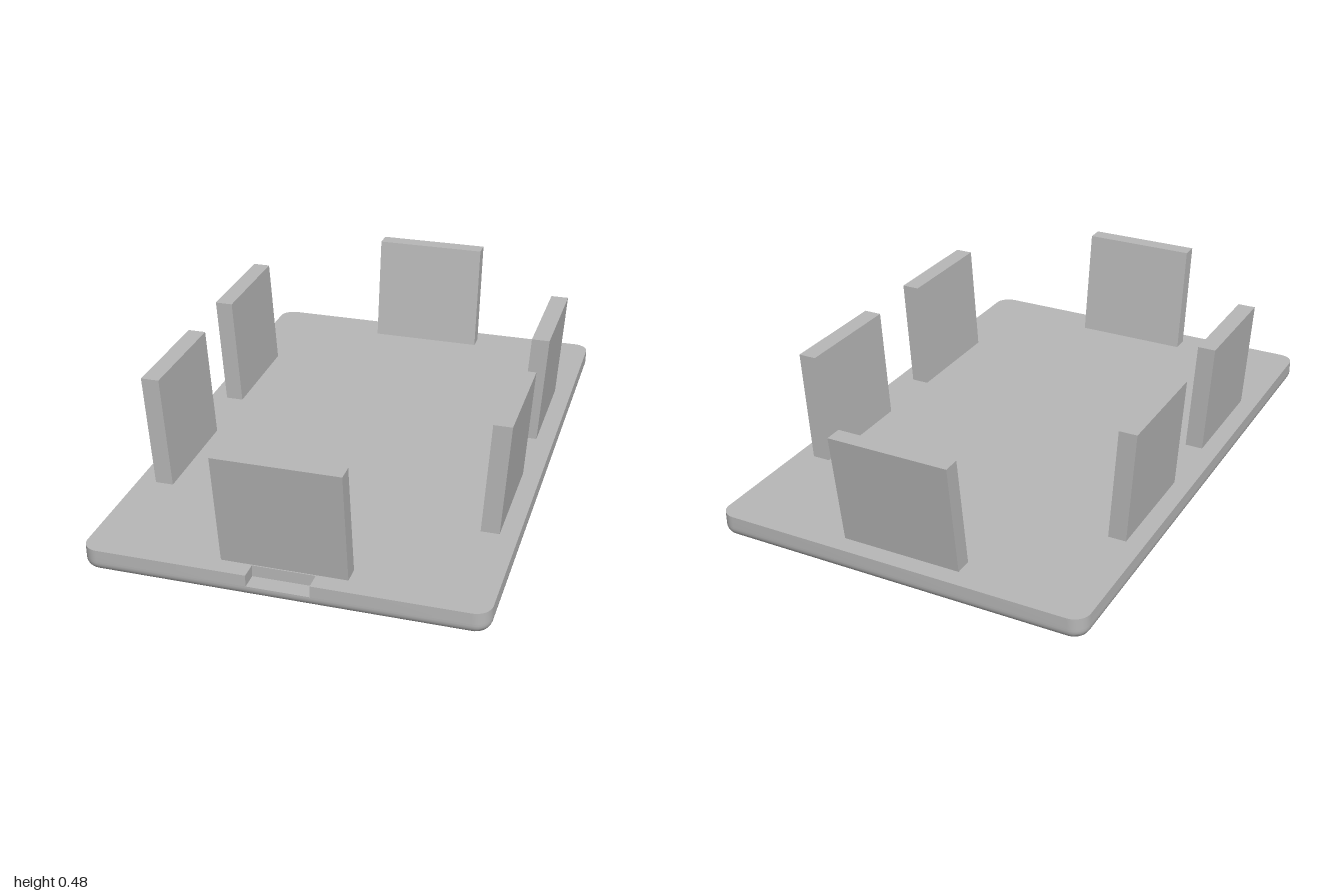
import * as THREE from 'three';
import { toCreasedNormals } from 'three/addons/utils/BufferGeometryUtils.js';

const HALF_X = 0.667, HALF_Z = 1, CORNER = 0.055;
const HEIGHT = 0.08, LEDGE = 0.04, BOTTOM_ROUND = 0.035;
const TAB_TOP = 0.475;

// Rounded rectangle, counter-clockwise, pulled in by `inset`
function outline(inset = 0) {
  const r = CORNER - inset, steps = 8, points = [];
  [[1, 1], [-1, 1], [-1, -1], [1, -1]].forEach(([sx, sy], q) => {
    for (let i = 0; i <= steps; i++) {
      const a = (q + i / steps) * Math.PI / 2;
      points.push(new THREE.Vector2(
        sx * (HALF_X - CORNER) + r * Math.cos(a),
        sy * (HALF_Z - CORNER) + r * Math.sin(a)));
    }
  });
  return points;
}

// Lower half of the tray: stacked outlines with a rounded bottom edge
function lowerPlate() {
  const flat = outline();
  const centre = flat.map(() => new THREE.Vector2());
  const levels = [[centre, 0]];
  for (let i = 0; i <= 6; i++) {
    const a = i / 6 * Math.PI / 2;
    levels.push([outline(BOTTOM_ROUND * (1 - Math.sin(a))), BOTTOM_ROUND * (1 - Math.cos(a))]);
  }
  levels.push([flat, LEDGE], [centre, LEDGE]);

  const n = flat.length, positions = [], index = [];
  levels.forEach(([ring, h]) => ring.forEach(p => positions.push(p.x, p.y, h)));
  for (let l = 0; l < levels.length - 1; l++) {
    for (let i = 0; i < n; i++) {
      const j = (i + 1) % n, a = l * n + i, b = l * n + j;
      if (l > 0) index.push(a, b, b + n);
      if (l === 0) index.push(a, b + n, a + n);
      else if (l < levels.length - 2) index.push(a, b + n, a + n);
    }
  }
  const g = new THREE.BufferGeometry();
  g.setAttribute('position', new THREE.Float32BufferAttribute(positions, 3));
  g.setIndex(index);
  g.rotateX(-Math.PI / 2);
  return toCreasedNormals(g, 0.6);
}

// Upper half of the tray, with the notch in the front edge
function upperPlate() {
  const points = outline();
  const notch = [[-0.105, -1], [-0.105, -0.94], [0.105, -0.94], [0.105, -1]];
  points.splice(points.length * 3 / 4, 0, ...notch.map(([x, y]) => new THREE.Vector2(x, y)));
  const g = new THREE.ExtrudeGeometry(new THREE.Shape(points), {
    depth: HEIGHT - LEDGE, bevelEnabled: false,
  });
  g.rotateX(-Math.PI / 2);
  g.translate(0, LEDGE, 0);
  return toCreasedNormals(g, 0.6);
}

// Upright tab facing +z whose top leans outward by `lean`
function tabGeometry(width, thickness, inner, lean) {
  const h = TAB_TOP - HEIGHT;
  const g = new THREE.BoxGeometry(width, h, thickness);
  g.translate(0, h / 2, inner + thickness / 2);
  const p = g.attributes.position;
  for (let i = 0; i < p.count; i++) p.setZ(i, p.getZ(i) + lean * p.getY(i) / h);
  g.computeVertexNormals();
  g.translate(0, HEIGHT, 0);
  return g;
}

export function createModel() {
  const model = new THREE.Group();
  model.name = 'trayWithTabs';
  const grey = new THREE.MeshStandardMaterial({ color: 0xb8b8b8 });
  grey.name = 'plainGrey';

  const add = (name, geometry) => {
    const mesh = new THREE.Mesh(geometry, grey);
    mesh.name = name;
    model.add(mesh);
    return mesh;
  };

  add('plateBottom', lowerPlate());
  add('plateTop', upperPlate());

  // One tab at each end
  const endTab = tabGeometry(0.42, 0.06, 0.876, 0.054);
  add('frontTab', endTab);
  add('backTab', endTab).rotation.y = Math.PI;

  // Two tabs along each side
  const sideTab = tabGeometry(0.413, 0.063, 0.541, 0.026);
  for (const side of [1, -1]) {
    for (const end of [1, -1]) {
      const tab = add(`${side > 0 ? 'left' : 'right'}${end > 0 ? 'Front' : 'Back'}Tab`, sideTab);
      tab.rotation.y = side * Math.PI / 2;
      tab.position.z = end * 0.338;
    }
  }
  return model;
}
